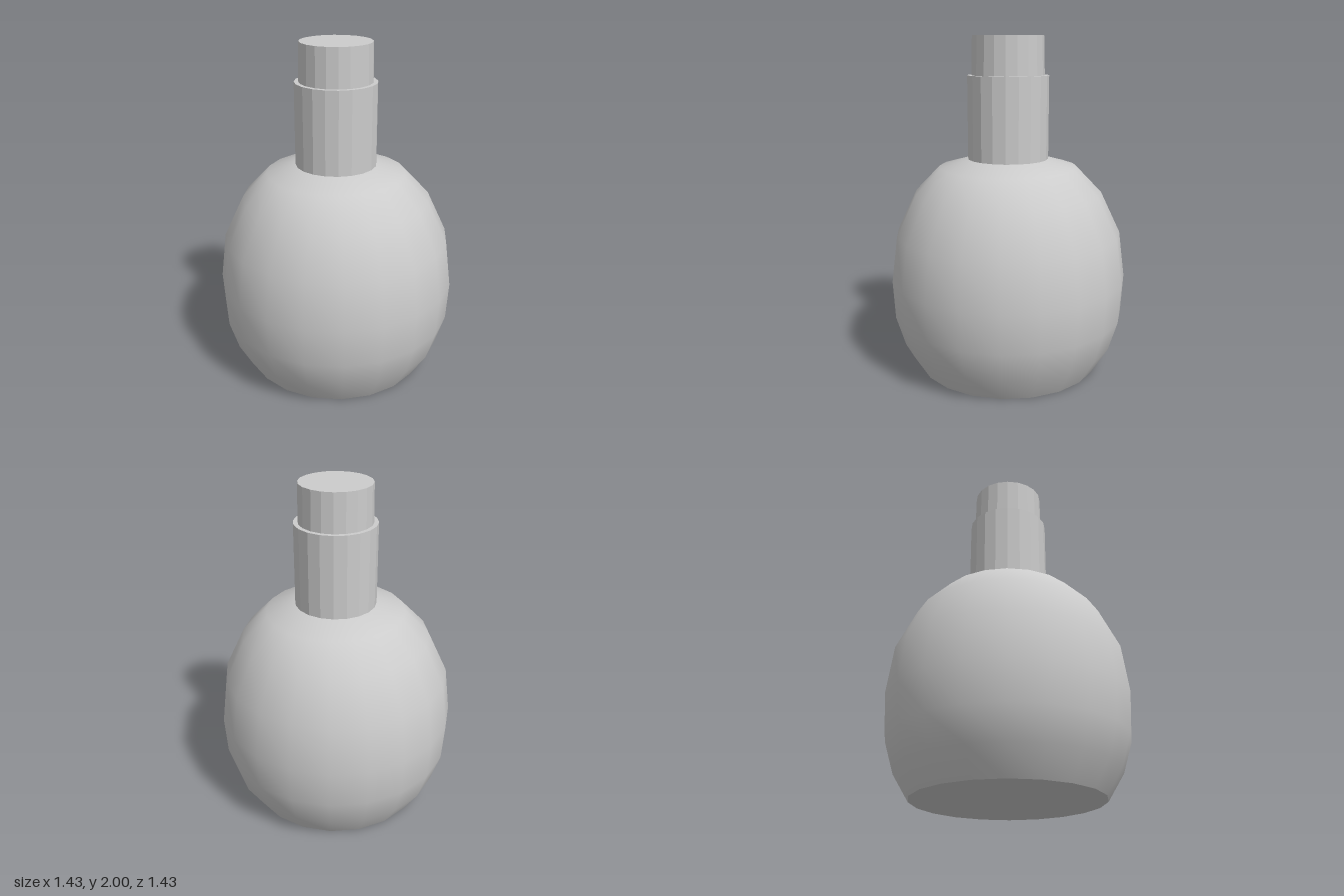
import * as THREE from 'three';

const SIDES = 20;

// Turned part from [radius, height] pairs, listed from bottom to top
function turned(name, profile, flatShading) {
  const points = profile.map(([r, y]) => new THREE.Vector2(r, y));
  const material = new THREE.MeshStandardMaterial({ color: 0xcccccc, flatShading });
  const mesh = new THREE.Mesh(new THREE.LatheGeometry(points, SIDES), material);
  mesh.name = name;
  return mesh;
}

export function createModel() {
  const model = new THREE.Group();
  model.name = 'bottle';

  // Flat underside
  model.add(turned('base', [[0, 0], [0.55, 0]], true));

  // Smooth bulbous body, widest below the middle
  model.add(turned('body', [
    [0.55, 0], [0.645, 0.155], [0.7, 0.335], [0.713, 0.565],
    [0.677, 0.84], [0.56, 1.085], [0.413, 1.237], [0.24, 1.286],
  ], false));

  // Faceted neck with a flat rim
  model.add(turned('neck', [[0.24, 1.286], [0.24, 1.775], [0.214, 1.775]], true));

  // Stopper, tapering slightly to a flat top
  model.add(turned('stopper', [[0.214, 1.775], [0.21, 2], [0, 2]], true));

  return model;
}
